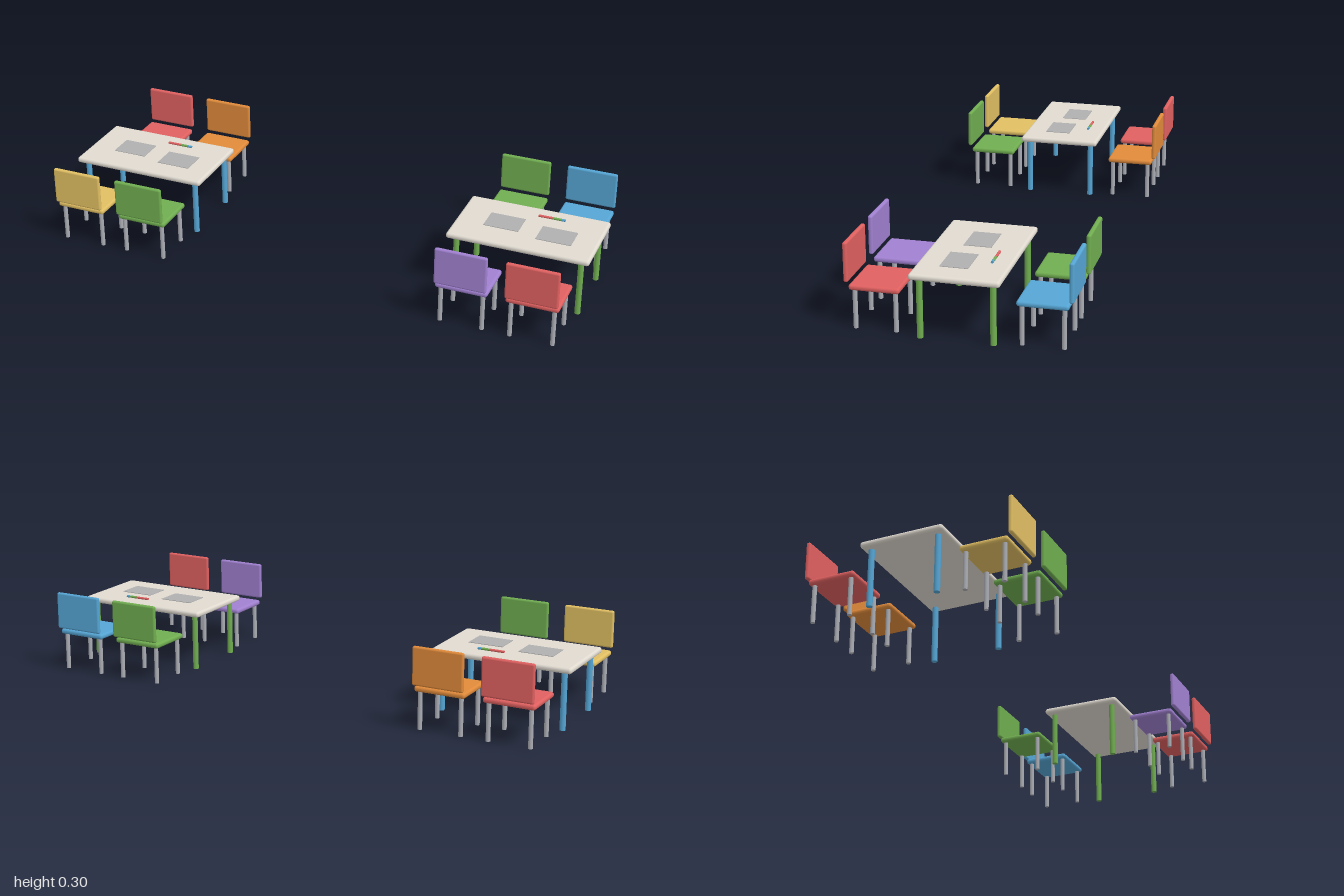
import * as THREE from 'three';
import { RoundedBoxGeometry } from 'three/addons/geometries/RoundedBoxGeometry.js';

const RED = 0xe06060, ORANGE = 0xe08a3a, YELLOW = 0xe0be62, GREEN = 0x70ad50;
const BLUE = 0x55a5d4, PURPLE = 0xa080d0, TOP = 0xe0dad0, METAL = 0xaaadb4, PAPER = 0xb0b0b0;

const materials = new Map();
function paint(color) {
  if (!materials.has(color)) materials.set(color, new THREE.MeshStandardMaterial({ color }));
  return materials.get(color);
}

function add(parent, name, geometry, color, x, y, z) {
  const mesh = new THREE.Mesh(geometry, paint(color));
  mesh.name = name;
  mesh.position.set(x, y, z);
  parent.add(mesh);
  return mesh;
}

// Four round legs standing on the ground, mirrored in x and z
function addLegs(parent, name, radius, height, dx, dz, color) {
  const geometry = new THREE.CylinderGeometry(radius, radius, height, 16);
  for (const sx of [-1, 1]) {
    for (const sz of [-1, 1]) add(parent, name, geometry, color, sx * dx, height / 2, sz * dz);
  }
}

// Chair centred on its seat, backrest towards +z
function createChair(color) {
  const chair = new THREE.Group();
  chair.name = 'chair';
  add(chair, 'seat', new RoundedBoxGeometry(0.188, 0.02, 0.172, 3, 0.009), color, 0, 0.146, 0);
  add(chair, 'backrest', new RoundedBoxGeometry(0.188, 0.138, 0.016, 3, 0.007), color, 0, 0.231, 0.094);
  addLegs(chair, 'chairLeg', 0.008, 0.138, 0.076, 0.069, METAL);
  return chair;
}

// Table with two sheets of paper and a row of crayons
function createTable(legColor) {
  const table = new THREE.Group();
  table.name = 'table';
  add(table, 'tableTop', new RoundedBoxGeometry(0.518, 0.022, 0.302, 3, 0.01), TOP, 0, 0.218, 0);
  addLegs(table, 'tableLeg', 0.0105, 0.21, 0.226, 0.122, legColor);

  const sheet = new THREE.BoxGeometry(0.128, 0.002, 0.095);
  add(table, 'paper', sheet, PAPER, -0.09, 0.23, -0.001);
  add(table, 'paper', sheet, PAPER, 0.108, 0.23, 0.023);

  const crayons = [[RED, 0.01, 0.052], [GREEN, 0.062, 0.03], [BLUE, 0.092, 0.016]];
  for (const [color, start, length] of crayons) {
    const crayon = new THREE.CylinderGeometry(0.0045, 0.0045, length, 12);
    crayon.rotateZ(Math.PI / 2);
    add(table, 'crayon', crayon, color, start + length / 2, 0.2335, -0.087);
  }
  return table;
}

export function createModel() {
  const model = new THREE.Group();
  model.name = 'classroomTables';

  // Chair colours run from -x to +x
  const sets = [
    { x: -0.741, legs: BLUE, front: [YELLOW, GREEN], back: [RED, ORANGE] },
    { x: 0.741, legs: GREEN, front: [PURPLE, RED], back: [GREEN, BLUE] },
  ];
  for (const { x, legs, front, back } of sets) {
    const set = new THREE.Group();
    set.name = 'tableSet';
    set.position.x = x;
    set.add(createTable(legs));
    for (const i of [0, 1]) {
      const cx = (i - 0.5) * 0.252;
      const near = createChair(front[i]);
      near.position.set(cx, 0, 0.279);
      const far = createChair(back[i]);
      far.position.set(cx, 0, -0.279);
      far.rotation.y = Math.PI;
      set.add(near, far);
    }
    model.add(set);
  }
  return model;
}
